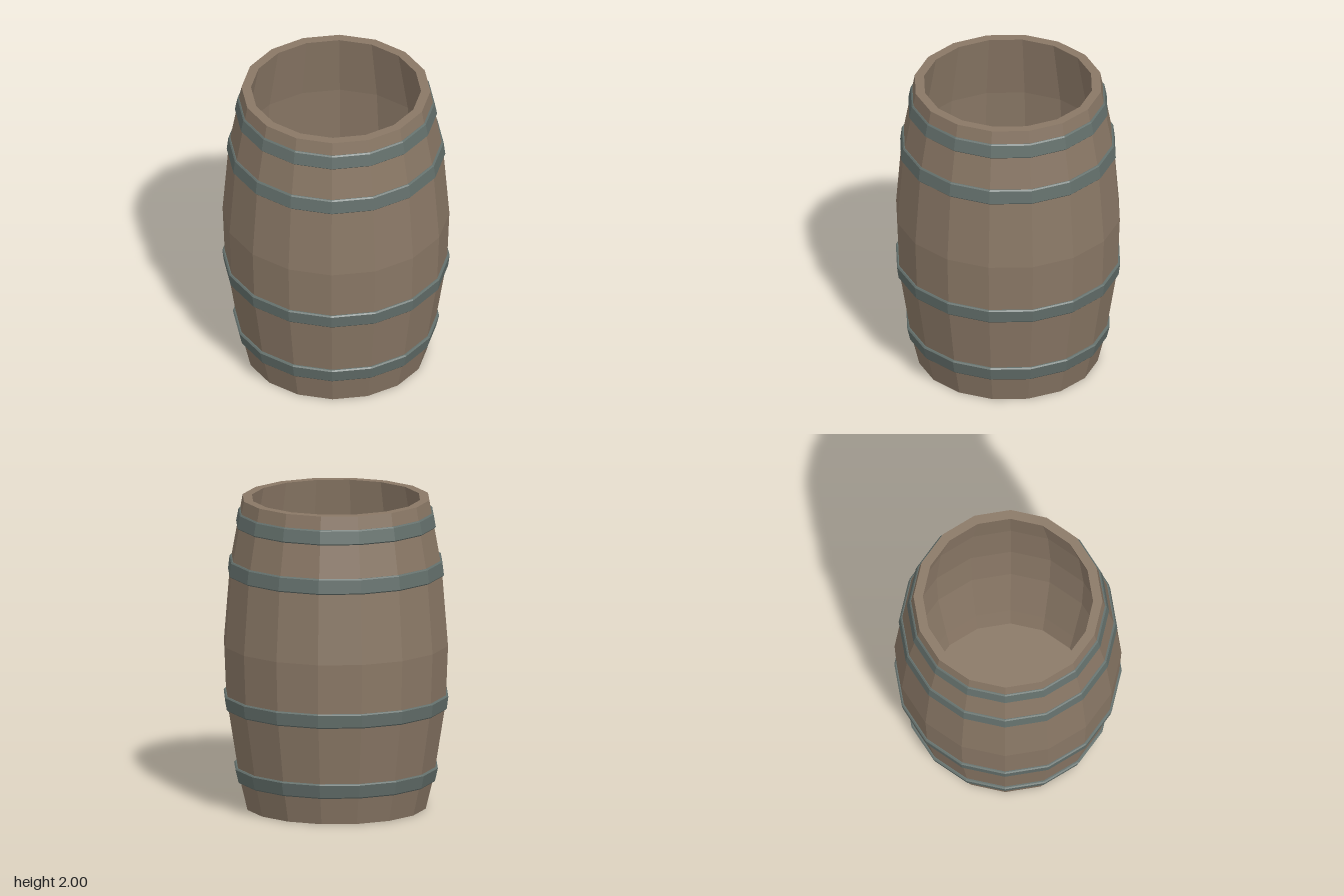
import * as THREE from 'three';

const SIDES = 16;
const WALL = 0.06;

// Outer outline of the staves, bottom to top: [radius, height]
const OUTLINE = [[0.577, 0], [0.63, 0.22], [0.705, 0.69], [0.72, 1.06], [0.68, 1.56], [0.60, 2]];

// Hoops: [bottom height, bottom radius, top height, top radius]
const HOOPS = [
  [0.175, 0.636, 0.272, 0.655],
  [0.645, 0.712, 0.74, 0.722],
  [1.51, 0.694, 1.61, 0.684],
  [1.82, 0.642, 1.915, 0.627],
];

export function createModel() {
  const wood = new THREE.MeshStandardMaterial({ color: 0x8a7866, flatShading: true });
  wood.name = 'weathered wood';
  const iron = new THREE.MeshStandardMaterial({ color: 0x64706c, flatShading: true });
  iron.name = 'grey iron';

  const barrel = new THREE.Group();
  barrel.name = 'barrel';

  // Faceted ring turned from a profile
  const turn = (name, profile, material) => {
    const points = profile.map(([r, y]) => new THREE.Vector2(r, y));
    const geometry = new THREE.LatheGeometry(points, SIDES).toNonIndexed();
    geometry.computeVertexNormals();
    const mesh = new THREE.Mesh(geometry, material);
    mesh.name = name;
    barrel.add(mesh);
  };

  // Staves: up the outside, over the rim and down the inside
  const inside = OUTLINE.slice(1).reverse().map(([r, y]) => [r - WALL, y]);
  const floorRadius = 0.54;
  turn('staves', [...OUTLINE, ...inside, [floorRadius, WALL]], wood);

  // Inner floor and underside
  turn('floor', [[floorRadius, WALL], [0, WALL]], wood);
  turn('underside', [[0, 0], OUTLINE[0]], wood);

  // Bevelled iron hoops
  const bevel = 0.008;
  HOOPS.forEach(([y0, r0, y1, r1], i) => {
    turn(`hoop${i + 1}`, [
      [r0 - 0.04, y0],
      [r0 - bevel, y0],
      [r0, y0 + bevel],
      [r1, y1 - bevel],
      [r1 - bevel, y1],
      [r1 - 0.04, y1],
    ], iron);
  });

  return barrel;
}
